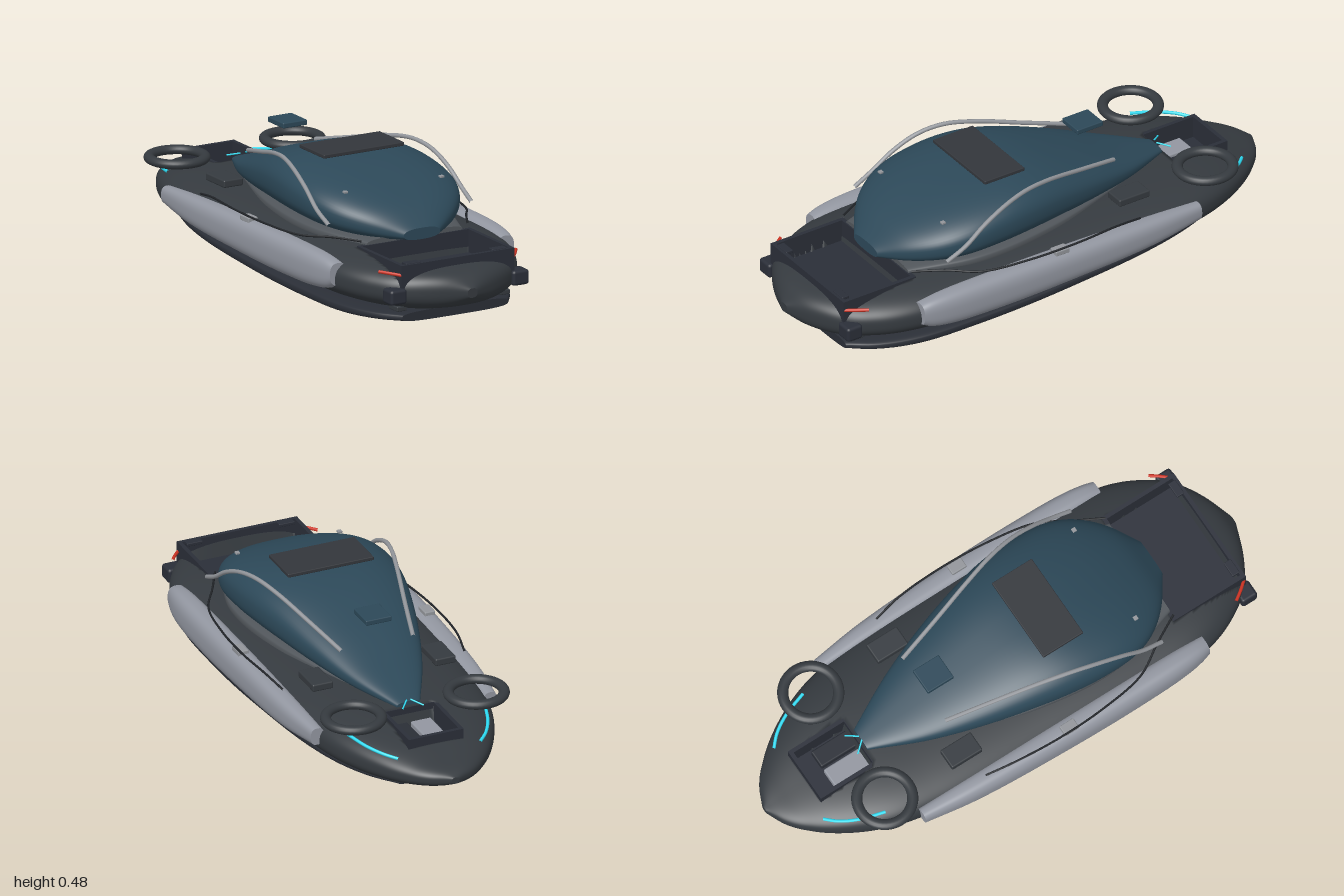
import * as THREE from 'three';
import { RoundedBoxGeometry } from 'three/addons/geometries/RoundedBoxGeometry.js';

const mat = (color) => new THREE.MeshStandardMaterial({ color });
const M = {
  hull: mat(0x353a3f), keel: mat(0x2a2e36), pad: mat(0x9296a0), canopy: mat(0x2c4858),
  box: mat(0x2a2e38), panel: mat(0x33363b), rail: mat(0x92959a), rope: mat(0x202327),
  red: mat(0xd03424), cyan: mat(0x2cdcf4), deck: mat(0x50555a),
};

// Smooth loft along z. Each row: z (ascending), centre x, half width, bottom y, top y.
function loft(rows, { power = 2, rings = 60, sides = 48, edit } = {}) {
  const spline = new THREE.CubicInterpolant(rows.map((r) => r[0]), rows.flatMap((r) => r.slice(1)), 4);
  const z0 = rows[0][0], z1 = rows[rows.length - 1][0];
  const pos = [], idx = [], e = 2 / power;
  const bend = (v) => Math.sign(v) * Math.abs(v) ** e;
  for (let i = 0; i <= rings; i++) {
    // rings gather toward both ends
    const t = i / rings, s = 0.5 * t + 0.5 * (0.5 - 0.5 * Math.cos(Math.PI * t));
    const z = z0 + (z1 - z0) * s;
    const [cx, w, yb, yt] = spline.evaluate(z);
    for (let j = 0; j < sides; j++) {
      const a = (j / sides) * Math.PI * 2;
      const p = new THREE.Vector3(cx + w * bend(Math.cos(a)), (yb + yt) / 2 + ((yt - yb) / 2) * bend(Math.sin(a)), z);
      if (edit) edit(p);
      pos.push(p.x, p.y, p.z);
    }
  }
  for (let i = 0; i < rings; i++) for (let j = 0; j < sides; j++) {
    const k = (j + 1) % sides;
    const a = i * sides + j, b = i * sides + k, c = a + sides, d = b + sides;
    idx.push(a, b, c, b, d, c);
  }
  // flat end caps with their own vertices
  for (const end of [0, rings]) {
    const base = pos.length / 3, r = rows[end ? rows.length - 1 : 0];
    for (let j = 0; j < sides; j++) pos.push(...pos.slice((end * sides + j) * 3, (end * sides + j) * 3 + 3));
    pos.push(r[1], (r[3] + r[4]) / 2, r[0]);
    for (let j = 0; j < sides; j++) {
      const a = base + j, b = base + ((j + 1) % sides), c = base + sides;
      if (end) idx.push(a, b, c); else idx.push(b, a, c);
    }
  }
  const g = new THREE.BufferGeometry();
  g.setAttribute('position', new THREE.Float32BufferAttribute(pos, 3));
  g.setIndex(idx);
  g.computeVertexNormals();
  return g;
}

const tube = (pts, r) => {
  const curve = new THREE.CatmullRomCurve3(pts.map((p) => new THREE.Vector3(...p)));
  return new THREE.TubeGeometry(curve, 40, r, 8);
};

export function createModel() {
  const model = new THREE.Group();
  const add = (name, geo, material, x = 0, y = 0, z = 0, parent = model) => {
    const m = new THREE.Mesh(geo, material);
    m.name = name;
    m.position.set(x, y, z);
    parent.add(m);
    return m;
  };
  const box = (name, w, h, d, material, x, y, z) =>
    add(name, new RoundedBoxGeometry(w, h, d, 2, Math.min(w, h, d) * 0.2), material, x, y, z);

  // Hull, with wells sunk into the deck for the two open boxes
  const sink = (p) => {
    const stern = Math.abs(p.x) < 0.225 && p.z > 0.6 && p.z < 0.885;
    const bow = Math.abs(p.x) < 0.1 && p.z > -0.82 && p.z < -0.6;
    if (stern || bow) p.y = Math.min(p.y, 0.13);
  };
  add('hull', loft([
    [-1, 0, 0.015, 0.12, 0.145], [-0.97, 0, 0.08, 0.105, 0.16], [-0.9, 0, 0.16, 0.085, 0.182],
    [-0.8, 0, 0.235, 0.068, 0.21], [-0.65, 0, 0.305, 0.055, 0.235], [-0.45, 0, 0.345, 0.045, 0.248],
    [0, 0, 0.37, 0.038, 0.257], [0.4, 0, 0.373, 0.038, 0.253], [0.65, 0, 0.362, 0.042, 0.242],
    [0.8, 0, 0.305, 0.047, 0.226], [0.9, 0, 0.225, 0.058, 0.209], [0.96, 0, 0.125, 0.078, 0.185],
    [1, 0, 0.02, 0.11, 0.145],
  ], { power: 2.6, rings: 150, sides: 160, edit: sink }), M.hull);

  // Bottom skirt
  add('keelPlate', loft([
    [-0.82, 0, 0.14, 0.058, 0.075], [-0.7, 0, 0.21, 0.046, 0.074], [-0.5, 0, 0.275, 0.032, 0.07],
    [0, 0, 0.33, 0.01, 0.066], [0.4, 0, 0.34, 0.002, 0.06], [0.65, 0, 0.325, 0.004, 0.058],
    [0.8, 0, 0.275, 0.012, 0.056], [0.88, 0, 0.22, 0.018, 0.055],
  ], { power: 3.6, sides: 64 }), M.keel);
  box('bowSkid', 0.2, 0.02, 0.1, M.box, 0, 0.068, -0.77);

  // Cockpit surround and canopy
  add('cockpitSurround', loft([
    [-0.58, 0, 0.05, 0.21, 0.25], [-0.3, 0, 0.16, 0.21, 0.266], [0, 0, 0.25, 0.21, 0.27],
    [0.35, 0, 0.275, 0.21, 0.266], [0.6, 0, 0.2, 0.21, 0.256],
  ], { power: 4 }), M.deck);
  add('canopy', loft([
    [-0.59, 0, 0.045, 0.23, 0.256], [-0.4, 0, 0.14, 0.23, 0.318], [-0.2, 0, 0.215, 0.232, 0.392],
    [0, 0, 0.27, 0.234, 0.452], [0.12, 0, 0.293, 0.234, 0.467], [0.25, 0, 0.304, 0.234, 0.458],
    [0.4, 0, 0.292, 0.234, 0.425], [0.5, 0, 0.248, 0.235, 0.388], [0.58, 0, 0.175, 0.237, 0.345],
    [0.65, 0, 0.075, 0.243, 0.285],
  ], { power: 2.55, rings: 70, sides: 64 }), M.canopy);
  box('solarPanel', 0.335, 0.014, 0.17, M.panel, 0, 0.474, 0.165);
  box('roofSensor', 0.1, 0.02, 0.11, M.canopy, 0, 0.456, -0.28);

  // Open boxes: floor and four walls
  const tray = (name, w, z0, z1, yb, yt, t) => {
    const g = new THREE.Group();
    g.name = name;
    model.add(g);
    const d = z1 - z0, zc = (z0 + z1) / 2, h = yt - yb, y = (yt + yb) / 2;
    add('floor', new THREE.BoxGeometry(w, 0.012, d), M.box, 0, yb + 0.006, zc, g);
    for (const s of [-1, 1]) {
      add('sideWall', new THREE.BoxGeometry(t, h, d), M.box, s * (w - t) / 2, y, zc, g);
      add('endWall', new THREE.BoxGeometry(w - 2 * t, h, t), M.box, 0, y, zc + s * (d - t) / 2, g);
    }
  };
  tray('cargoBox', 0.47, 0.59, 0.9, 0.14, 0.237, 0.015);
  tray('bowBox', 0.215, -0.83, -0.585, 0.14, 0.237, 0.015);
  box('bowCase', 0.08, 0.03, 0.16, M.pad, -0.042, 0.165, -0.67);
  box('bowBattery', 0.07, 0.03, 0.16, M.keel, 0.045, 0.165, -0.67);

  // Parts repeated on both sides
  for (const s of [1, -1]) {
    const pad = [
      [-0.55, 0.338, 0.026, 0.135, 0.2], [-0.35, 0.35, 0.04, 0.112, 0.215],
      [0, 0.358, 0.049, 0.097, 0.226], [0.35, 0.36, 0.05, 0.09, 0.228],
      [0.55, 0.357, 0.045, 0.096, 0.222], [0.62, 0.353, 0.038, 0.108, 0.213], [0.65, 0.349, 0.034, 0.122, 0.205],
    ].map(([z, x, ...rest]) => [z, s * x, ...rest]);
    add('sidePad', loft(pad, { power: 2.6 }), M.pad);

    const mx = (pts) => pts.map(([x, y, z]) => [s * x, y, z]);
    add('canopyRail', tube(mx([
      [0.14, 0.358, -0.32], [0.185, 0.4, -0.15], [0.232, 0.442, 0.02], [0.264, 0.456, 0.14],
      [0.284, 0.44, 0.24], [0.295, 0.395, 0.34], [0.3, 0.34, 0.42], [0.297, 0.3, 0.5],
    ]), 0.008), M.rail);
    add('sideRope', tube(mx([
      [0.355, 0.235, -0.29], [0.375, 0.252, -0.18], [0.386, 0.25, 0], [0.377, 0.245, 0.2],
      [0.345, 0.243, 0.38], [0.28, 0.252, 0.49], [0.22, 0.254, 0.6],
    ]), 0.004), M.rope);
    box('ropeCleat', 0.04, 0.02, 0.06, M.rail, s * 0.365, 0.23, 0.06);
    box('deckCleat', 0.08, 0.028, 0.13, M.hull, s * 0.24, 0.266, -0.318);

    const ring = add('lifeRing', new THREE.TorusGeometry(0.1, 0.02, 16, 48), M.hull, s * 0.24, 0.268, -0.645);
    ring.rotation.x = Math.PI / 2;
    ring.scale.z = 0.85;

    add('bowLight', tube(mx([[0.16, 0.185, -0.855], [0.2, 0.194, -0.815], [0.238, 0.203, -0.75], [0.268, 0.213, -0.66]]), 0.006), M.cyan);
    add('antenna', tube(mx([[0.008, 0.262, -0.59], [0.025, 0.256, -0.61], [0.042, 0.25, -0.63]]), 0.003), M.cyan);
    add('tailLight', tube(mx([[0.285, 0.206, 0.825], [0.26, 0.204, 0.86], [0.23, 0.2, 0.895]]), 0.006), M.red);
    box('thruster', 0.068, 0.056, 0.065, M.box, s * 0.254, 0.126, 0.884);
    box('sternBracket', 0.04, 0.018, 0.06, M.hull, s * 0.215, 0.068, 0.84);
    box('trayLatch', 0.06, 0.012, 0.03, M.box, s * 0.18, 0.234, 0.875);
    box('canopyStud', 0.016, 0.008, 0.016, M.rail, s * 0.2, 0.398, 0.452);
  }
  return model;
}
